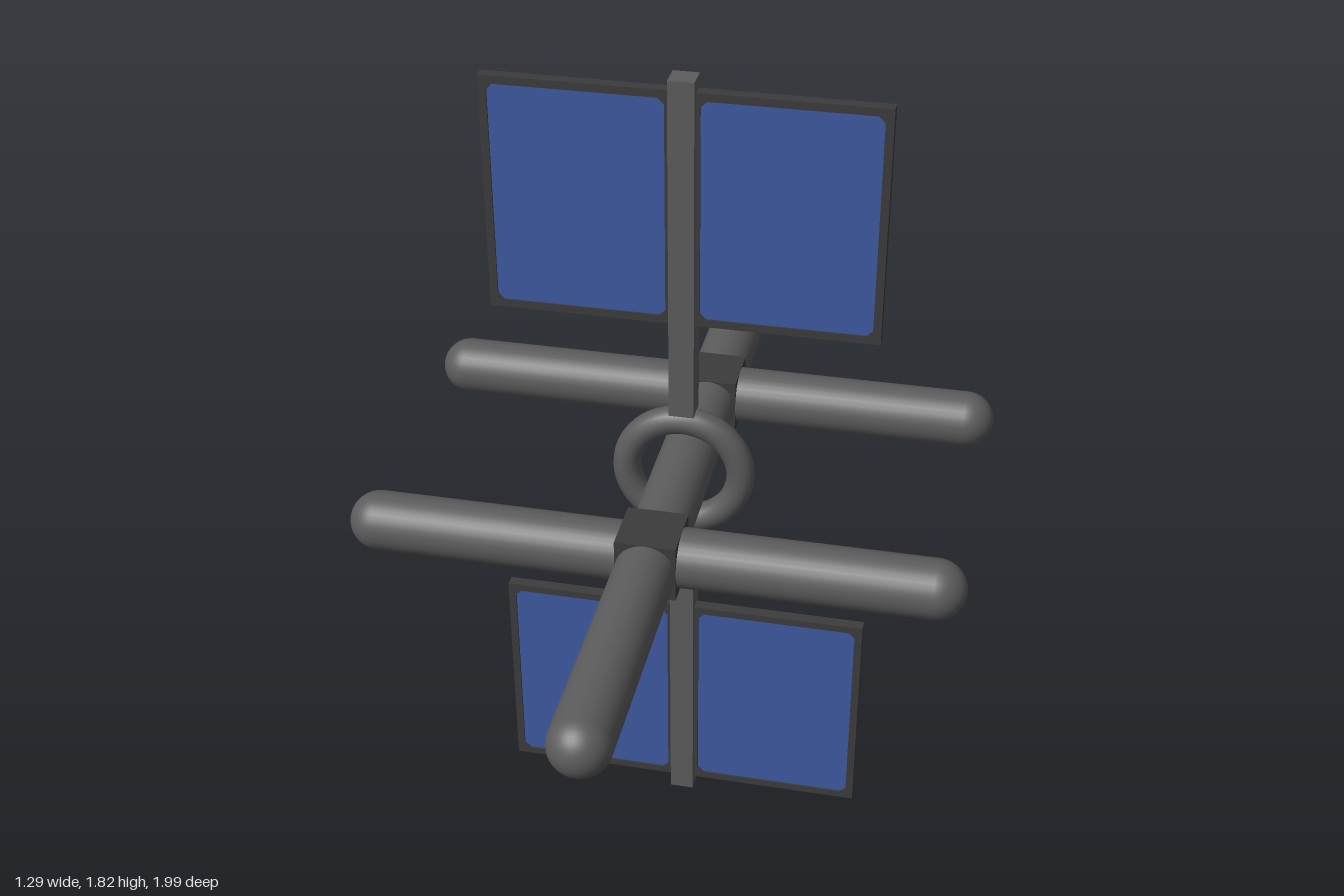
import * as THREE from 'three';

const Y = 0.908;      // height of the hull axis
const R = 0.063;      // hull radius
const MAST_Z = 0.029; // plane of the mast, ring and solar panels

function material(name, color, side = THREE.FrontSide) {
  const m = new THREE.MeshStandardMaterial({ color, side });
  m.name = name;
  return m;
}

export function createModel() {
  const model = new THREE.Group();
  model.name = 'spaceStation';
  const hull = material('hullGrey', 0x5c5c5c, THREE.DoubleSide);
  const dark = material('darkGrey', 0x3c3c3c);
  const blue = material('solarBlue', 0x3d5aa3);

  const add = (name, geometry, mat, x, y, z) => {
    const mesh = new THREE.Mesh(geometry, mat);
    mesh.name = name;
    mesh.position.set(x, y, z);
    model.add(mesh);
    return mesh;
  };

  // Main module: round nose at the front, open hatch at the back
  const nose = 1 - R, tail = -0.88;
  const tube = new THREE.CylinderGeometry(R, R, nose - tail, 32, 1, true).rotateX(Math.PI / 2);
  add('mainModule', tube, hull, 0, Y, (nose + tail) / 2);
  const cap = new THREE.SphereGeometry(R, 32, 12, 0, Math.PI * 2, 0, Math.PI / 2).rotateX(Math.PI / 2);
  add('mainModuleNose', cap, hull, 0, Y, nose);

  // Hatch lid: hollow half sphere with a thick rim, swung open at the back
  const profile = [];
  for (let i = 0; i <= 10; i++) {
    const a = (i / 10) * Math.PI / 2;
    profile.push(new THREE.Vector2(R * Math.sin(a), -R * Math.cos(a)));
  }
  const rim = 0.048;
  profile.push(new THREE.Vector2(R, 0), new THREE.Vector2(rim, 0), new THREE.Vector2(rim, 0));
  for (let i = 9; i >= 0; i--) {
    const a = (i / 10) * Math.PI / 2;
    profile.push(new THREE.Vector2(rim * Math.sin(a), -rim * Math.cos(a)));
  }
  const lid = add('hatchLid', new THREE.LatheGeometry(profile, 32), hull, -0.094, Y, -0.938);
  lid.quaternion.setFromUnitVectors(
    new THREE.Vector3(0, 1, 0), new THREE.Vector3(0.87, 0, -0.5).normalize());

  // Cross modules with their junction blocks
  for (const z of [0.347, -0.3]) {
    const capsule = new THREE.CapsuleGeometry(R, 1.29 - 2 * R, 12, 32).rotateZ(Math.PI / 2);
    add('crossModule', capsule, hull, 0, Y, z);
    add('junctionBlock', new THREE.BoxGeometry(0.127, 0.127, 0.127), dark, 0, Y, z);
  }

  // Ring around the main module
  add('mastRing', new THREE.TorusGeometry(0.126, 0.031, 16, 48), hull, 0, Y, MAST_Z);

  // Frame of one solar panel, from the mast outwards
  const w = 0.393, h = 0.515, b = 0.017;
  const shape = new THREE.Shape();
  shape.moveTo(-w / 2, -h / 2).lineTo(w / 2, -h / 2).lineTo(w / 2, h / 2).lineTo(-w / 2, h / 2).closePath();
  const hx = w / 2 - b, hy = h / 2 - b, c = 0.013;
  const hole = new THREE.Path();
  hole.moveTo(-hx + c, -hy).lineTo(-hx, -hy + c).lineTo(-hx, hy - c).lineTo(-hx + c, hy);
  hole.lineTo(hx - c, hy).lineTo(hx, hy - c).lineTo(hx, -hy + c).lineTo(hx - c, -hy).closePath();
  shape.holes.push(hole);
  const frame = new THREE.ExtrudeGeometry(shape, { depth: 0.026, bevelEnabled: false }).translate(0, 0, -0.013);
  const cells = new THREE.BoxGeometry(w - b, h - b, 0.018);

  // Masts and panels, mirrored above and below
  for (const s of [1, -1]) {
    const top = Y, bottom = 0.15;
    add('mast', new THREE.BoxGeometry(0.054, top - bottom, 0.054), hull, 0, Y + s * (top + bottom) / 2, MAST_Z);
    for (const side of [1, -1]) {
      const x = side * (0.412 - w / 2), y = Y + s * 0.625;
      add('panelFrame', frame, dark, x, y, MAST_Z);
      add('solarCells', cells, blue, x, y, MAST_Z);
    }
  }
  return model;
}
